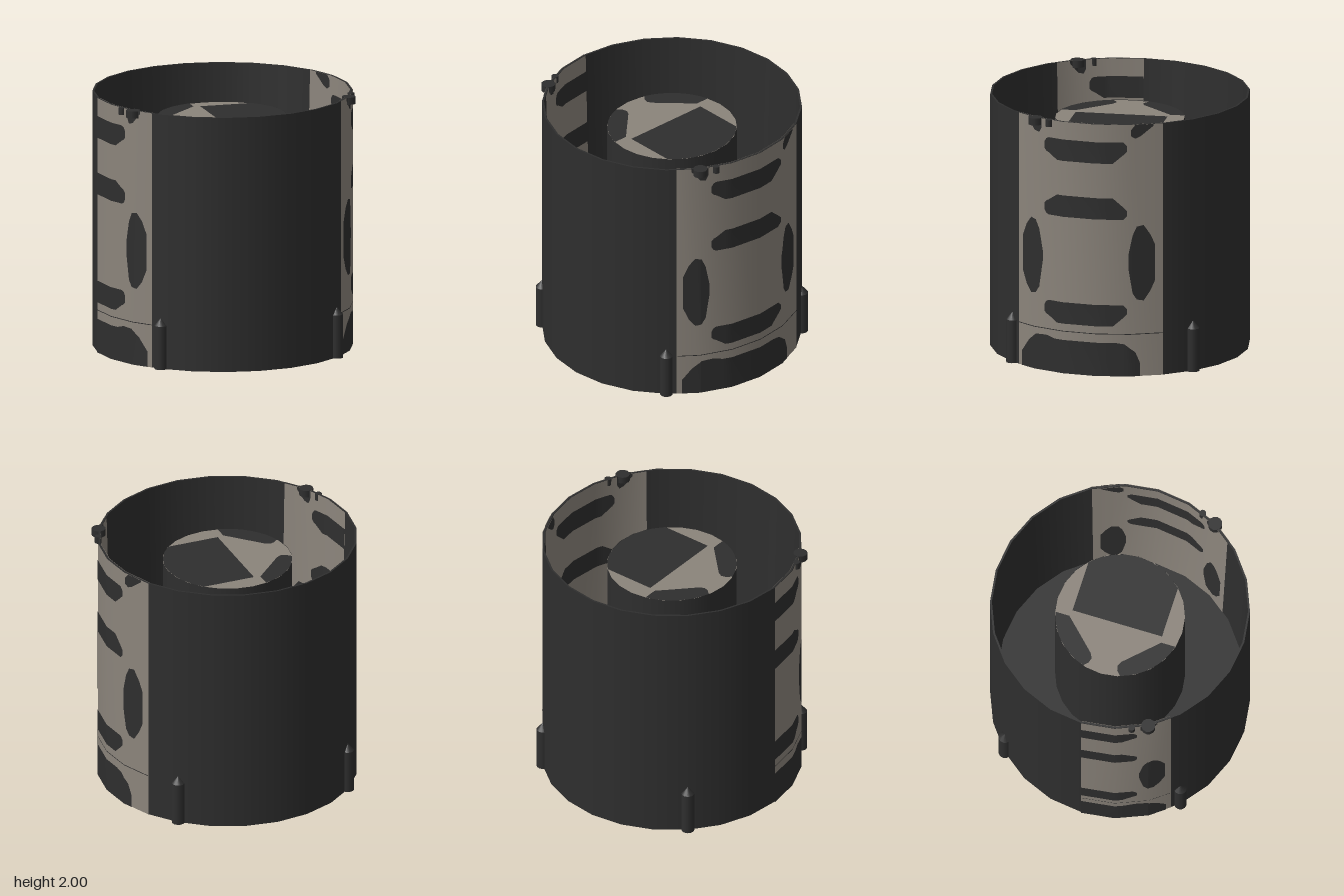
import * as THREE from 'three';

const SIDES = 24;
const STEP = (Math.PI * 2) / SIDES;
const FLOOR_Y = 0.5;

// x of the 24-sided wall (radius 1) at a given z
function wallX(z) {
  const k = Math.floor(Math.asin(z) / STEP + 1e-6);
  const a = k * STEP, b = a + STEP;
  const t = (z - Math.sin(a)) / (Math.sin(b) - Math.sin(a));
  return Math.cos(a) + (Math.cos(b) - Math.cos(a)) * t;
}

// inner wall radius, tapering from the rim down to the floor
const innerRadius = (y) => 0.94 + 0.045 * (y - FLOOR_Y) / (2 - FLOOR_Y);

// Patch lying on the wall, from columns [z, low, high] in falling z
function wallPatch(columns, side, inside, lift, zMin) {
  const last = columns[columns.length - 1][0];
  const zs = columns.map((c) => c[0]);
  for (let k = -3; k <= 3; k++) zs.push(Math.sin(k * STEP));
  const stops = [...new Set(zs)]
    .filter((z) => z <= columns[0][0] && z >= Math.max(last, zMin))
    .sort((a, b) => b - a);
  const pos = [], idx = [];
  for (const z of stops) {
    let i = 0;
    while (i < columns.length - 2 && z < columns[i + 1][0]) i++;
    const [z0, l0, h0] = columns[i], [z1, l1, h1] = columns[i + 1];
    const t = (z - z0) / (z1 - z0);
    for (let y of [l0 + (l1 - l0) * t, h0 + (h1 - h0) * t]) {
      if (inside) y = Math.max(y, FLOOR_Y);
      const s = inside ? innerRadius(y) - lift : 1 + lift;
      pos.push(side * wallX(z) * s, y, z * s);
    }
  }
  for (let i = 0; i < stops.length - 1; i++) {
    const a = i * 2;
    if (side > 0) idx.push(a, a + 2, a + 1, a + 1, a + 2, a + 3);
    else idx.push(a, a + 1, a + 2, a + 1, a + 3, a + 2);
  }
  const g = new THREE.BufferGeometry();
  g.setAttribute('position', new THREE.Float32BufferAttribute(pos, 3));
  g.setIndex(idx);
  g.computeVertexNormals();
  return g;
}

// Rounded spots of the side panels
const hangingSpot = (d) => [
  [0.417, 1.77 + d, 1.82 + d], [0.4, 1.75 + d, 1.85 + d], [0.38, 1.74 + d, 1.86 + d],
  [0.31, 1.69 + d, 1.86 + d], [-0.13, 1.69 + d, 1.86 + d], [-0.21, 1.76 + d, 1.86 + d],
  [-0.24, 1.79 + d, 1.83 + d]];
const SPOTS = [
  hangingSpot(0),
  hangingSpot(-1.295),
  hangingSpot(0).map(([z, lo, hi]) => [z, 3.105 - hi, 3.105 - lo]),
  [[0.605, 0.76, 1.04], [0.57, 0.66, 1.14], [0.53, 0.6, 1.2], [0.49, 0.61, 1.19], [0.46, 0.66, 1.12], [0.43, 0.87, 0.95]],
  [[-0.25, 0.85, 0.97], [-0.28, 0.66, 1.12], [-0.31, 0.61, 1.19], [-0.36, 0.6, 1.2], [-0.41, 0.68, 1.12], [-0.443, 0.76, 1.04]],
  [[0.612, 0, 0.12], [0.55, 0, 0.22], [0.49, 0, 0.28], [0.4, 0, 0.285], [0.33, 0, 0.265],
    [-0.15, 0, 0.265], [-0.22, 0, 0.255], [-0.3, 0, 0.19], [-0.335, 0, 0.1]],
  [[0.555, 1.98, 2], [0.5, 1.9, 2], [0.46, 1.89, 2], [0.44, 1.93, 2]],
  [[-0.27, 1.91, 1.96], [-0.3, 1.89, 2], [-0.34, 1.91, 2], [-0.43, 1.985, 2]],
];

export function createModel() {
  const model = new THREE.Group();
  const dark = new THREE.MeshStandardMaterial({ color: 0x2e2e2e, side: THREE.DoubleSide });
  dark.name = 'charcoal';
  const light = new THREE.MeshStandardMaterial({ color: 0x8b847b, side: THREE.DoubleSide });
  light.name = 'warm grey';

  const add = (name, geometry, material, x = 0, y = 0, z = 0, parent = model) => {
    const m = new THREE.Mesh(geometry, material);
    m.name = name;
    m.position.set(x, y, z);
    parent.add(m);
    return m;
  };
  const tube = (top, bottom, h, sides = SIDES) =>
    new THREE.CylinderGeometry(top, bottom, h, sides, 1, true);
  const flatRing = (r0, r1) => new THREE.RingGeometry(r0, r1, SIDES).rotateX(-Math.PI / 2);

  // Barrel: outer and inner wall, rims and floor
  add('outerWall', tube(1, 1, 2), dark, 0, 1, 0);
  add('upperInnerWall', tube(0.985, 0.94, 1.5), dark, 0, 1.25, 0);
  add('lowerInnerWall', tube(0.94, 0.94, 0.5), dark, 0, 0.25, 0);
  add('topRim', flatRing(0.985, 1), dark, 0, 2, 0);
  add('bottomRim', flatRing(0.94, 1).rotateX(Math.PI), dark);
  add('floor', flatRing(0.5, 0.94), dark, 0, FLOOR_Y, 0);

  // Light side panels with dark spots, on both faces of the wall
  for (const side of [1, -1]) {
    const zMin = side > 0 ? -0.5 : 0;
    for (const inside of [false, true]) {
      const panel = new THREE.Group();
      panel.name = (side > 0 ? 'left' : 'right') + (inside ? 'InnerPanel' : 'OuterPanel');
      model.add(panel);
      const patch = (name, columns, material, lift) =>
        add(name, wallPatch(columns, side, inside, lift, zMin), material, 0, 0, 0, panel);
      patch('panelField', [[0.645, 0, 2], [-0.5, 0, 2]], light, 0.003);
      for (const spot of SPOTS) {
        if (spot[0][0] <= zMin) continue;
        if (inside && Math.max(...spot.map((c) => c[2])) < 0.6) continue;
        patch('panelSpot', spot, dark, 0.006);
      }
      if (!inside) patch('panelSeam', [[0.64, 0.332, 0.338], [-0.5, 0.332, 0.338]], dark, 0.006);
    }
  }

  // Central core with its patterned cap
  add('coreWall', tube(0.5, 0.5, 1.3), dark, 0, 1.15, 0);
  add('coreCap', new THREE.CircleGeometry(0.5, SIDES).rotateX(-Math.PI / 2), light, 0, 1.796, 0);
  add('coreCapUnderside', new THREE.CircleGeometry(0.5, SIDES).rotateX(Math.PI / 2), dark, 0, 1.79, 0);
  const arc = (from, to) => Array.from({ length: 9 }, (_, i) => {
    const a = from + ((to - from) * i) / 8;
    return new THREE.Vector2(Math.cos(a) * 0.497, Math.sin(a) * 0.497);
  });
  const capPlate = (name, points) =>
    add(name, new THREE.ShapeGeometry(new THREE.Shape(points)).rotateX(-Math.PI / 2), dark, 0, 1.8, 0);
  const v = (x, y) => new THREE.Vector2(x, y);
  capPlate('capSquare', [v(-0.07, -0.36), ...arc(-0.81, 0.81), v(-0.07, 0.36)]);
  for (const s of [1, -1]) {
    const edge = [v(-0.47, 0.145), v(-0.44, 0.115), v(-0.4, 0.103), v(-0.36, 0.125), v(-0.12, 0.37)];
    capPlate('capCorner', [...edge, ...arc(1.815, 2.85)].map((p) => v(p.x, p.y * s)));
  }

  // Narrow light stripes under the floor
  const stripe = (name, angle, radius, y, h) => {
    const m = add(name, new THREE.PlaneGeometry(0.06, h), light,
      Math.cos(angle) * radius, y, Math.sin(angle) * radius);
    m.rotation.y = -Math.PI / 2 - angle;
  };
  stripe('lowerWallStripe', 1.5, 0.927, 0.25, 0.49);
  stripe('coreStripe', 2.35, 0.488, 1.1, 1.2);

  // Pointed feet outside and radial fins under the floor
  for (let i = 0; i < 4; i++) {
    const a = Math.PI / 4 + (i * Math.PI) / 2;
    const x = Math.cos(a), z = Math.sin(a);
    const foot = new THREE.Group();
    foot.name = 'foot';
    foot.position.set(x * 0.998, 0, z * 0.998);
    model.add(foot);
    add('footPost', new THREE.CylinderGeometry(0.05, 0.05, 0.34, 12), dark, 0, 0.17, 0, foot);
    add('footTip', new THREE.ConeGeometry(0.05, 0.06, 12), dark, 0, 0.37, 0, foot);
    const fin = add('fin', new THREE.BoxGeometry(0.33, 0.43, 0.03), dark, x * 0.78, 0.285, z * 0.78);
    fin.rotation.y = -a;
  }

  // Small pegs at the top edge
  for (const s of [1, -1]) {
    add('largePeg', new THREE.CylinderGeometry(0.055, 0.055, 0.055, 12), dark, s * 0.865, 1.9725, 0.497);
    add('smallPeg', new THREE.CylinderGeometry(0.027, 0.027, 0.055, 10), dark, s * 0.918, 1.9725, 0.38);
  }
  return model;
}
